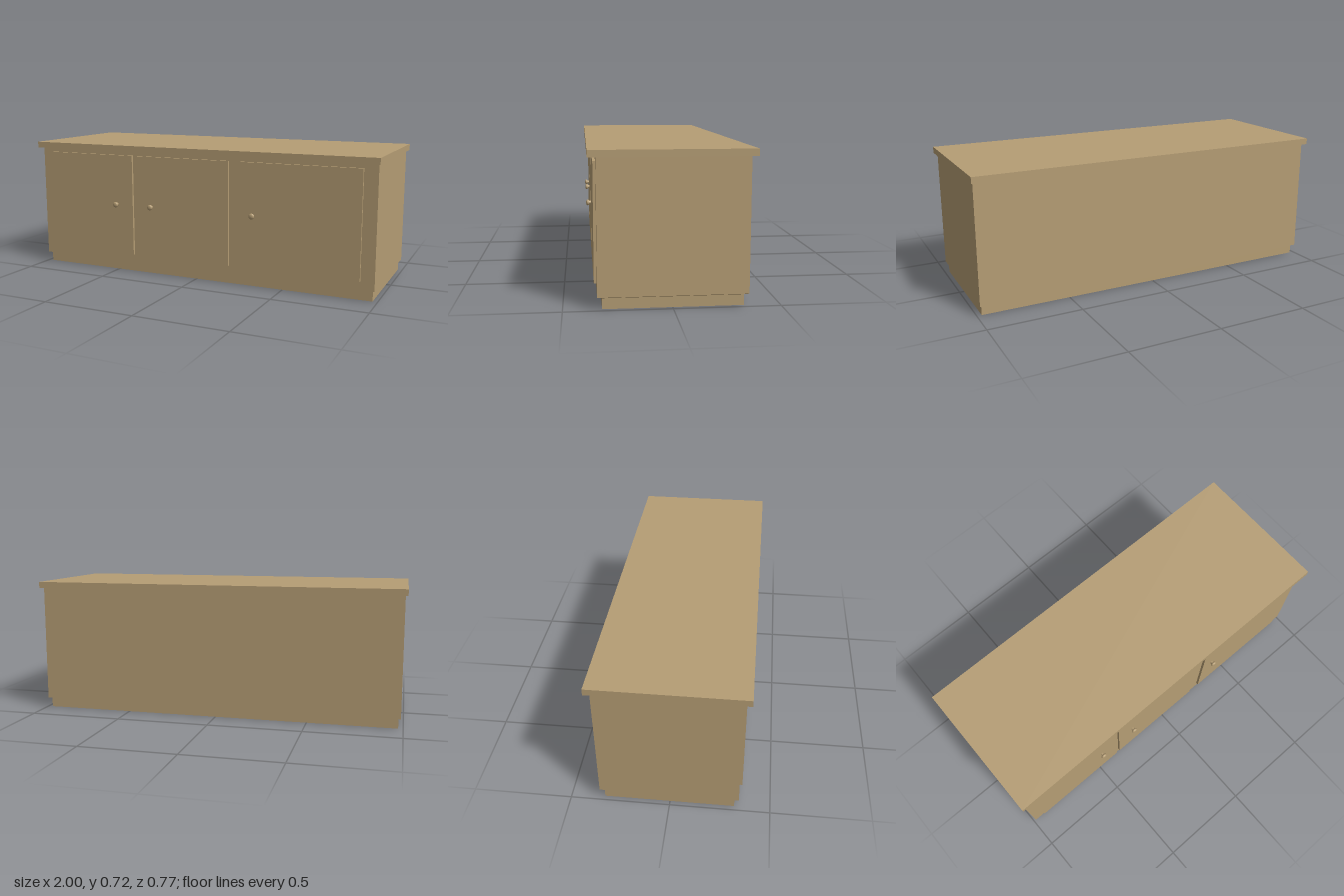
import * as THREE from 'three';

const wood = new THREE.MeshStandardMaterial({ color: 0xb59d74 });

// Box given by its extents on each axis
function slab(name, [x0, x1], [y0, y1], [z0, z1]) {
  const mesh = new THREE.Mesh(new THREE.BoxGeometry(x1 - x0, y1 - y0, z1 - z0), wood);
  mesh.position.set((x0 + x1) / 2, (y0 + y1) / 2, (z0 + z1) / 2);
  mesh.name = name;
  return mesh;
}

// Turned knob: thin stem and rounded head, pointing to +z
function knob(x, y, z) {
  const profile = [
    [0.0095, 0], [0.0095, 0.010], [0.0125, 0.0115], [0.015, 0.0145],
    [0.0155, 0.018], [0.0145, 0.0215], [0.011, 0.0245], [0.006, 0.0258], [0, 0.0262],
  ].map(([r, h]) => new THREE.Vector2(r, h));
  const mesh = new THREE.Mesh(new THREE.LatheGeometry(profile, 24), wood);
  mesh.rotation.x = Math.PI / 2;
  mesh.position.set(x, y, z);
  mesh.name = 'knob';
  return mesh;
}

export function createModel() {
  const group = new THREE.Group();
  group.name = 'sideboard';

  group.add(
    slab('top', [-1, 1], [0.69, 0.7235], [-0.3825, 0.3825]),
    slab('body', [-0.987, 0.987], [0.0565, 0.69], [-0.353, 0.344]),
    slab('plinth', [-0.975, 0.975], [0, 0.051], [-0.33, 0.322]),
  );

  // Sloped underside: the bottom corners draw in to meet the plinth
  const underside = slab('underside', [-0.987, 0.987], [0.051, 0.0565], [-0.353, 0.344]);
  const p = underside.geometry.attributes.position;
  for (let i = 0; i < p.count; i++) {
    if (p.getY(i) > 0) continue;
    p.setX(i, Math.sign(p.getX(i)) * 0.975);
    p.setZ(i, (p.getZ(i) > 0 ? 0.322 : -0.33) - underside.position.z);
  }
  underside.geometry.computeVertexNormals();
  group.add(underside);

  // Doors: left edge, right edge, knob position
  const doors = [
    ['rightDoor', -0.925, -0.38, -0.482],
    ['middleDoor', -0.358, 0.204, -0.26],
    ['leftDoor', 0.272, 0.915, 0.344],
  ];
  for (const [name, x0, x1, knobX] of doors) {
    const door = new THREE.Group();
    door.name = name;
    door.add(slab('panel', [x0, x1], [0.103, 0.666], [0.34, 0.357]), knob(knobX, 0.3875, 0.357));
    group.add(door);
  }
  return group;
}
